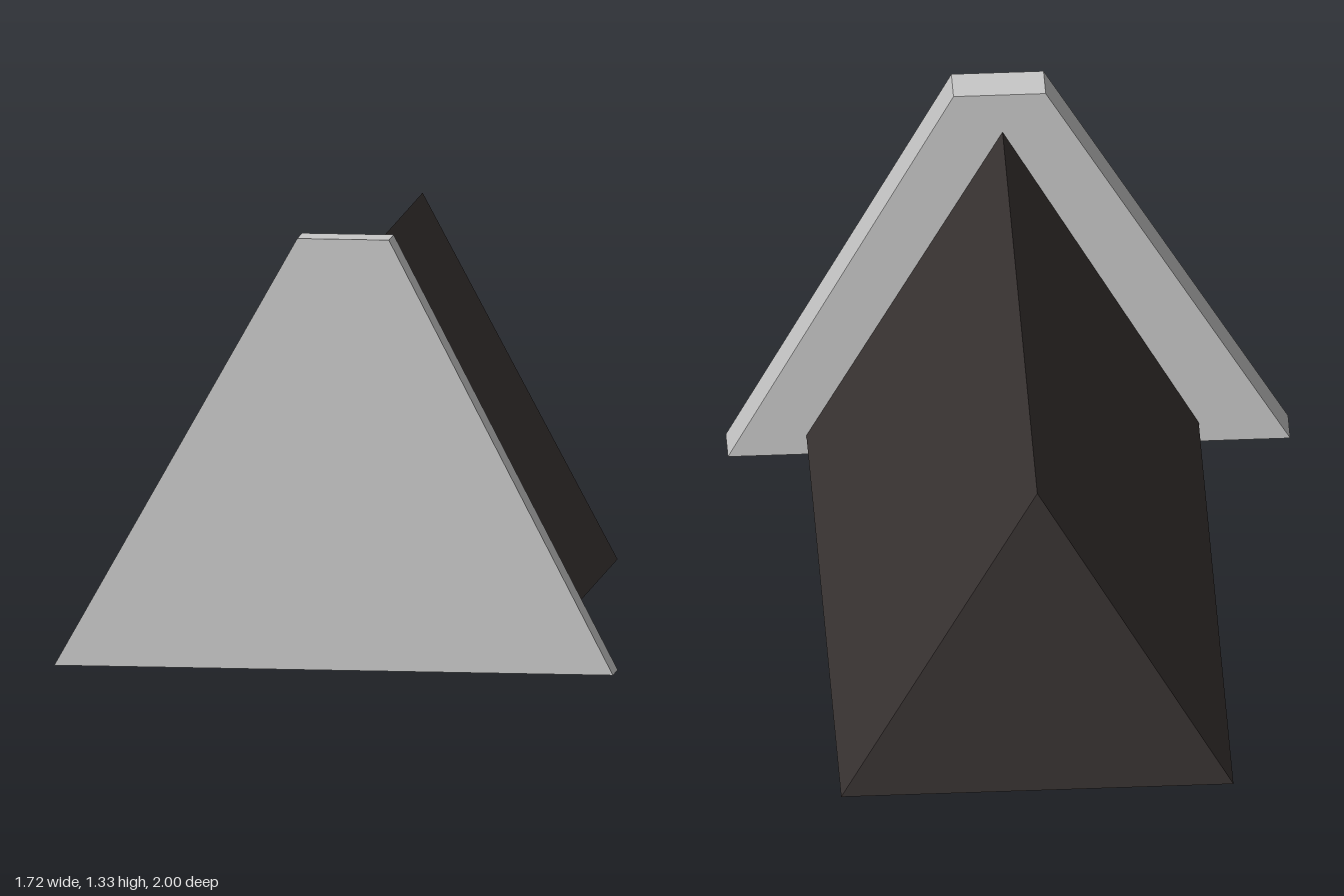
import * as THREE from 'three';

// Extrude a flat outline from zBack to zFront
function slab(name, points, zBack, zFront, material) {
  const shape = new THREE.Shape(points.map(([x, y]) => new THREE.Vector2(x, y)));
  const geometry = new THREE.ExtrudeGeometry(shape, { depth: zFront - zBack, bevelEnabled: false });
  geometry.translate(0, 0, zBack);
  const mesh = new THREE.Mesh(geometry, material);
  mesh.name = name;
  return mesh;
}

export function createModel() {
  const group = new THREE.Group();
  group.name = 'wedgeWithFrontPlate';

  const paleGrey = new THREE.MeshStandardMaterial({ color: 0xc9c9c9 });
  paleGrey.name = 'paleGrey';
  const darkBrown = new THREE.MeshStandardMaterial({ color: 0x3a3433 });
  darkBrown.name = 'darkBrown';

  // Trapezoid plate at the front
  group.add(slab('frontPlate',
    [[-0.86, 0], [0.86, 0], [0.17, 1.33], [-0.112, 1.33]], 0.883, 1, paleGrey));

  // Long triangular body behind the plate
  group.add(slab('prismBody',
    [[-0.58, 0.07], [0.62, 0.07], [0.02, 1.19]], -1, 0.883, darkBrown));

  return group;
}
